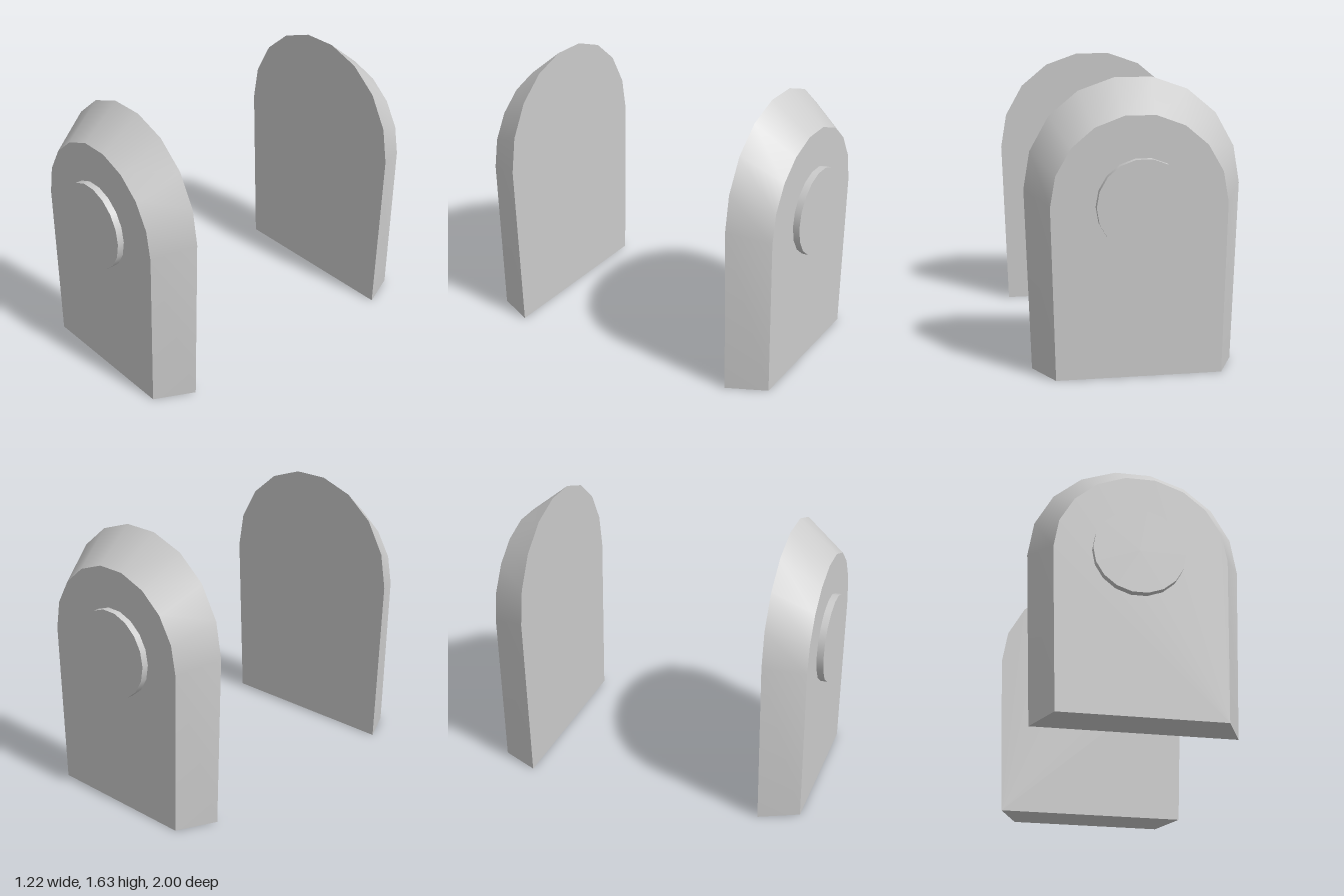
import * as THREE from 'three';
import { toCreasedNormals } from 'three/addons/utils/BufferGeometryUtils.js';

const material = new THREE.MeshStandardMaterial({ color: 0xcccccc });

// Right half of the arched outline, bottom to top: large inner face and small outer face
const INNER = [[0.573, 0], [0.608, 1.03], [0.573, 1.24], [0.467, 1.43], [0.305, 1.565], [0.105, 1.635]];
const OUTER = [[0.465, 0], [0.49, 0.97], [0.46, 1.14], [0.375, 1.287], [0.247, 1.395], [0.085, 1.455]];
const INNER_Z = 0.73, OUTER_Z = 0.96;

// Full counter-clockwise outline at depth z
function ring(half, z) {
  const mirrored = half.map(([x, y]) => [-x, y]).reverse();
  return [...half, ...mirrored].map(([x, y]) => [x, y, z]);
}

// Closed slab with bevelled rim, lofted between the two outlines
function slabGeometry() {
  const back = ring(INNER, INNER_Z), front = ring(OUTER, OUTER_Z);
  const n = back.length, pos = [];
  const tri = (a, b, c) => pos.push(...a, ...b, ...c);
  for (let i = 0; i < n; i++) {
    const j = (i + 1) % n;
    tri(back[i], back[j], front[j]);
    tri(back[i], front[j], front[i]);
  }
  for (let i = 1; i < n - 1; i++) {
    tri(front[0], front[i], front[i + 1]);
    tri(back[0], back[i + 1], back[i]);
  }
  const geometry = new THREE.BufferGeometry();
  geometry.setAttribute('position', new THREE.Float32BufferAttribute(pos, 3));
  return toCreasedNormals(geometry, THREE.MathUtils.degToRad(40));
}

// One arched slab with a round boss on its outer face
function createSupport(name, bossX) {
  const support = new THREE.Group();
  support.name = name;

  const slab = new THREE.Mesh(slabGeometry(), material);
  slab.name = 'archedSlab';

  const bossGeometry = new THREE.CylinderGeometry(0.26, 0.26, 0.06, 18, 1, false, Math.PI / 2);
  bossGeometry.rotateX(Math.PI / 2);
  const boss = new THREE.Mesh(bossGeometry, material);
  boss.name = 'roundBoss';
  boss.position.set(bossX, 0.967, 0.97);

  support.add(slab, boss);
  return support;
}

export function createModel() {
  const model = new THREE.Group();
  model.name = 'archedSupportPair';

  const front = createSupport('frontSupport', -0.016);
  // Rear support is turned around, with its boss shifted to the same side
  const rear = createSupport('rearSupport', 0.016);
  rear.rotation.y = Math.PI;

  model.add(front, rear);
  return model;
}
